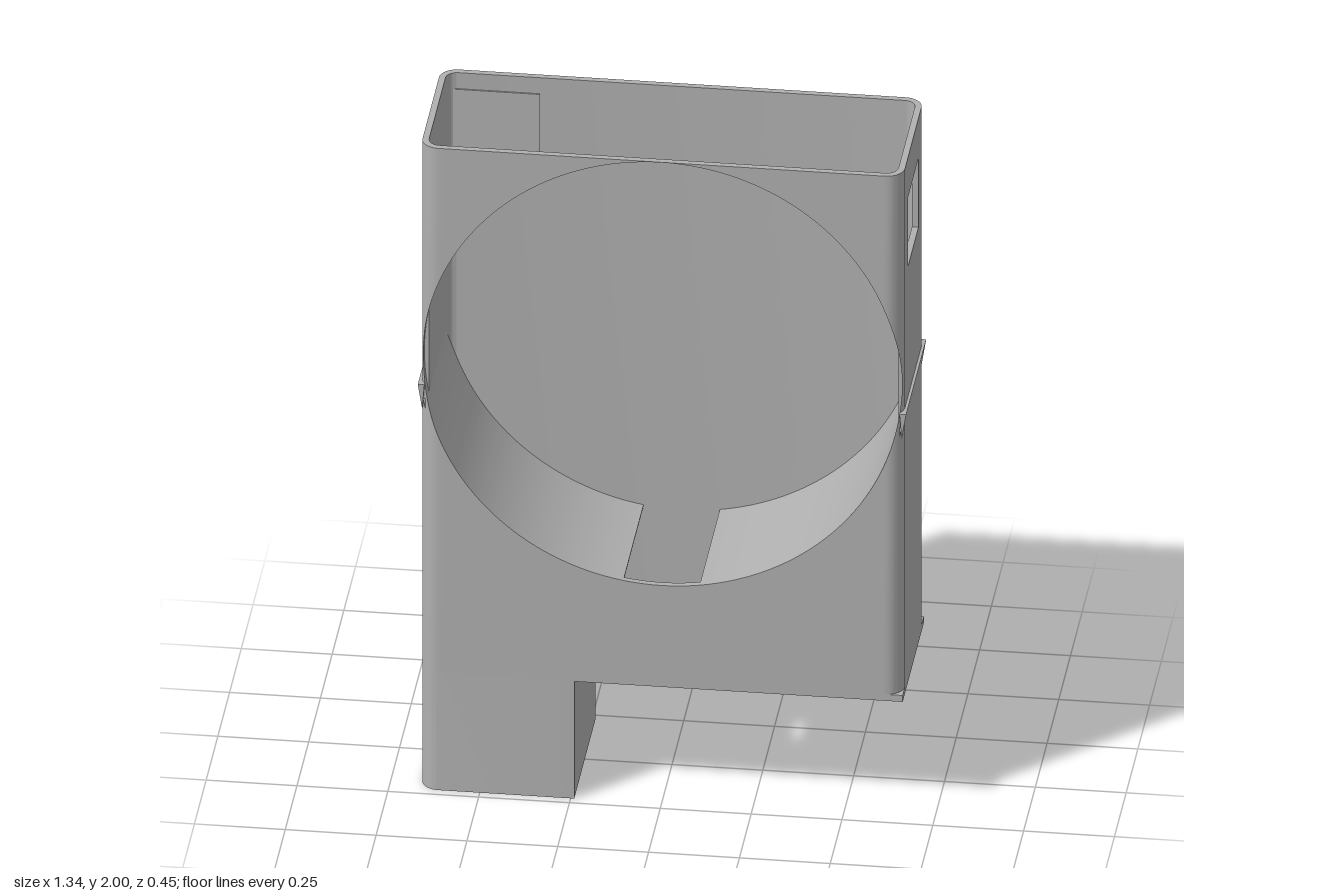
import * as THREE from 'three';
import { toCreasedNormals } from 'three/addons/utils/BufferGeometryUtils.js';

const W = 0.664, D = 0.225, T = 0.018;      // half width, half depth, wall
const RC = 0.05, XC = W - RC, ZC = D - RC;  // corner radius and centres
const BASE = 0.365, TOP = 2, LEG = -0.24;
const R = 0.659, CY = 1.34;                 // round opening

const grey = new THREE.MeshStandardMaterial({ color: 0xb0b0b0 });
grey.name = 'grey';

export function createModel() {
  const group = new THREE.Group();
  const add = (name, geometry) => {
    const mesh = new THREE.Mesh(toCreasedNormals(geometry, 0.5), grey);
    mesh.name = name;
    group.add(mesh);
    return mesh;
  };
  const extrude = (shape, depth, curveSegments = 10) =>
    new THREE.ExtrudeGeometry(shape, { depth, curveSegments, bevelEnabled: false });
  // Footprints are drawn in (x, -z) and raised from y0 to y1
  const raise = (shape, y0, y1) => extrude(shape, y1 - y0).rotateX(-Math.PI / 2).translate(0, y0, 0);
  const rect = (a, b, c, d, Type = THREE.Shape) => new Type([
    new THREE.Vector2(a, c), new THREE.Vector2(b, c), new THREE.Vector2(b, d), new THREE.Vector2(a, d)]);

  // Back wall with its two rounded corners
  const back = new THREE.Shape();
  back.moveTo(W, ZC);
  back.absarc(XC, ZC, RC, 0, Math.PI / 2);
  back.absarc(-XC, ZC, RC, Math.PI / 2, Math.PI);
  back.lineTo(-W + T, ZC);
  back.absarc(-XC, ZC, RC - T, Math.PI, Math.PI / 2, true);
  back.absarc(XC, ZC, RC - T, Math.PI / 2, 0, true);
  add('backWall', raise(back, BASE, TOP));

  // Side walls, each with its own window, drawn in (z, y)
  for (const s of [-1, 1]) {
    const side = rect(-ZC, ZC, BASE, TOP);
    side.holes.push(s > 0 ? rect(-0.112, 0.115, 1.66, 1.875, THREE.Path)
      : rect(0.01, 0.12, 0.4, 0.45, THREE.Path));
    add(s > 0 ? 'leftWall' : 'rightWall',
      extrude(side, T).rotateY(-Math.PI / 2).translate(s > 0 ? W : -W + T, 0, 0));

    // Sliver of the front corner beside the round opening
    const end = Math.acos((R - XC) / RC), pts = [];
    for (let i = 0; i <= 5; i++) {
      const a = end * i / 5;
      pts.push(new THREE.Vector2(s * (XC + RC * Math.cos(a)), -ZC - RC * Math.sin(a)));
    }
    pts.push(new THREE.Vector2(s * R, -ZC));
    add('frontCorner', raise(new THREE.Shape(pts), BASE, TOP));

    // Snap ridge flaring outwards on each side
    const ridge = new THREE.Shape([
      new THREE.Vector2(s * (W - 0.004), 1.18), new THREE.Vector2(s * (W + 0.008), 1.255),
      new THREE.Vector2(s * (W - 0.01), 1.255)]);
    add('sideRidge', extrude(ridge, 0.43).translate(0, 0, -0.215));
  }

  // Front wall above and below the opening, lofted across x round the corners
  const depthAt = (x, r) => ZC + Math.sqrt(Math.max(0, r * r - Math.max(0, Math.abs(x) - XC) ** 2));
  const frontPart = (name, upper) => {
    const N = 80, pos = [], index = [];
    for (let i = 0; i <= N; i++) {
      const a = Math.PI * i / N, x = -R * Math.cos(a), h = R * Math.sin(a);
      const lo = upper ? CY + h : BASE, hi = upper ? TOP : CY - h;
      const zo = depthAt(x, RC), zi = depthAt(x, RC - T);
      pos.push(x, lo, zo, x, hi, zo, x, hi, zi, x, lo, zi);
      if (i === N) continue;
      for (let j = 0; j < 4; j++) {
        const k = (j + 1) % 4, p = i * 4, q = p + 4;
        index.push(p + j, q + j, q + k, p + j, q + k, p + k);
      }
    }
    const g = new THREE.BufferGeometry();
    g.setAttribute('position', new THREE.Float32BufferAttribute(pos, 3));
    g.setIndex(index);
    add(name, g);
  };
  frontPart('frontWallTop', true);
  frontPart('frontWallBottom', false);

  // Curved cradle in two halves with a gap between them
  const slot = 0.105, r2 = R + 0.013;
  const outer = Math.acos((W - T) / R), inner = Math.acos(slot / R);
  for (const s of [-1, 1]) {
    const arc = new THREE.Shape();
    const a0 = s > 0 ? -inner : Math.PI + outer, a1 = s > 0 ? -outer : Math.PI + inner;
    arc.absarc(0, 0, R, a0, a1, false);
    arc.absarc(0, 0, r2, a1, a0, true);
    add('cradle', extrude(arc, 2 * (D - T), 40).translate(0, CY, -(D - T)));
  }

  // Floor with a rectangular hole
  const floor = rect(LEG - T, W, -D, D);
  floor.holes.push(rect(-slot, slot, -0.18, 0.07, THREE.Path));
  add('floor', raise(floor, BASE, BASE + 0.02));

  // Hollow leg, rounded on its outer side only
  const legOutline = (inset, Type) => {
    const p = new Type(), r = RC - inset;
    p.moveTo(LEG - inset, -D + inset);
    p.lineTo(LEG - inset, D - inset);
    p.absarc(-XC, ZC, r, Math.PI / 2, Math.PI);
    p.absarc(-XC, -ZC, r, Math.PI, Math.PI * 1.5);
    p.closePath();
    return p;
  };
  const leg = legOutline(0, THREE.Shape);
  leg.holes.push(legOutline(T, THREE.Path));
  add('leg', raise(leg, 0.02, BASE));
  add('legBottom', raise(legOutline(0, THREE.Shape), 0, 0.02));

  // Thin plate on the inside of the back wall
  add('innerPlate', new THREE.BoxGeometry(0.245, 0.22, 0.006).translate(-0.5125, 1.84, -D + T + 0.001));

  return group;
}
